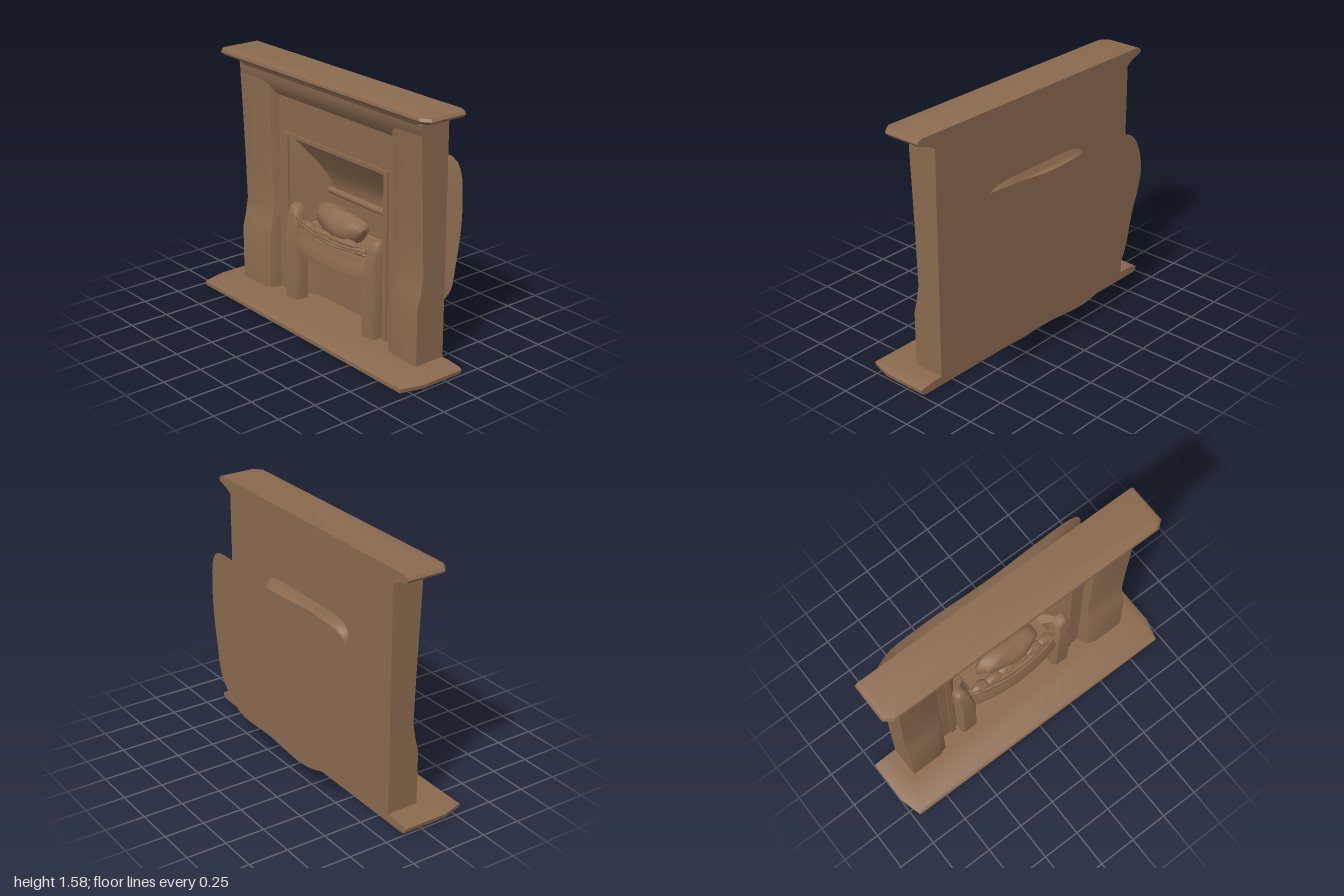
import * as THREE from 'three';
import { toCreasedNormals } from 'three/addons/utils/BufferGeometryUtils.js';

const brown = new THREE.MeshStandardMaterial({ color: 0x8a6a4e, side: THREE.DoubleSide });
brown.name = 'warm brown';

const BACK = -0.12;

function add(parent, name, geometry, crease = 0.6) {
  const mesh = new THREE.Mesh(toCreasedNormals(geometry, crease), brown);
  mesh.name = name;
  parent.add(mesh);
  return mesh;
}

// Skin a list of equal-length rings of [x, y, z] points
function loft(rings, { closed = true, capStart = true, capEnd = true } = {}) {
  const n = rings[0].length;
  const pos = rings.flat(2);
  const index = [];
  for (let i = 0; i < rings.length - 1; i++) {
    for (let j = 0; j < (closed ? n : n - 1); j++) {
      const k = (j + 1) % n;
      const a = i * n + j, b = i * n + k, c = b + n, d = a + n;
      index.push(a, b, c, a, c, d);
    }
  }
  const cap = (ring, start, flip) => {
    const centre = [0, 1, 2].map((c) => ring.reduce((s, p) => s + p[c], 0) / n);
    const m = pos.length / 3;
    pos.push(...centre);
    for (let j = 0; j < n; j++) {
      const a = start + j, b = start + ((j + 1) % n);
      index.push(m, flip ? b : a, flip ? a : b);
    }
  };
  if (closed && capStart) cap(rings[0], 0, true);
  if (closed && capEnd) cap(rings[rings.length - 1], (rings.length - 1) * n, false);
  const g = new THREE.BufferGeometry();
  g.setAttribute('position', new THREE.Float32BufferAttribute(pos, 3));
  g.setIndex(index);
  return g;
}

// Horizontal slab from rows of [y, halfWidth, front], with cut front corners
const slab = (rows, cx, cz) => loft(rows.map(([y, w, f]) => [
  [w, y, f - cz], [w, y, BACK], [-w, y, BACK], [-w, y, f - cz], [-w + cx, y, f], [w - cx, y, f],
]));

// Build a right-and-left pair from rings given for +x
function pair(parent, name, rings, crease) {
  add(parent, name + 'Left', loft(rings), crease);
  add(parent, name + 'Right', loft(rings.map((r) => r.map(([x, y, z]) => [-x, y, z]).reverse())), crease);
}

// Flat panel with a rectangular opening
function panel(w, y0, y1, hw, h0, h1, z, depth) {
  const rect = (C, a, b, c) => new C([[-a, b], [a, b], [a, c], [-a, c]].map((p) => new THREE.Vector2(...p)));
  const s = rect(THREE.Shape, w, y0, y1);
  s.holes.push(rect(THREE.Path, hw, h0, h1));
  return new THREE.ExtrudeGeometry(s, { depth, bevelEnabled: false }).translate(0, 0, z);
}

function buildSurround(g) {
  add(g, 'hearth', slab([[0.005, 0.97, 0.29], [0.015, 0.995, 0.31], [0.04, 1, 0.31], [0.05, 0.985, 0.295], [0.06, 0.9, 0.1]], 0.04, 0.14));
  add(g, 'lintel', slab([[1.35, 0.838, 0.01], [1.44, 0.838, 0.08], [1.51, 0.838, 0.085]], 0.002, 0.002));
  add(g, 'mantelShelf', slab([[1.495, 0.838, 0.085], [1.525, 0.89, 0.105], [1.543, 0.955, 0.15], [1.56, 0.967, 0.167],
    [1.577, 0.955, 0.163], [1.585, 0.93, 0.135]], 0.05, 0.04));

  // Jambs: plinth below, shaft leaning gently forward towards the top
  pair(g, 'jamb', [[0.05, 0.085], [0.41, 0.085], [0.5, 0.062], [0.6, 0.045], [0.9, 0.055], [1.2, 0.068], [1.44, 0.08]].map(([y, f]) => [
    [0.838, y, f], [0.838, y, BACK], [0.545, y, BACK], [0.545, y, -0.01], [0.575, y, f * 0.75], [0.63, y, f],
  ]));
  add(g, 'backPanel', panel(0.56, 0.05, 1.37, 0.41, 0.5, 1.06, BACK, 0.01));
  add(g, 'innerPanel', panel(0.56, 0.05, 1.37, 0.45, 0.051, 1.11, -0.03, 0.03));
  // Raised inner frame around the fire opening
  add(g, 'openingFrame', panel(0.485, 0.05, 1.125, 0.45, 0.051, 1.1, 0, 0.012));
}

function buildFirebox(g) {
  // Rows: y, back half width, back z
  const rows = [[0.05, 0.3, -0.105], [0.5, 0.3, -0.105], [0.56, 0.29, -0.2], [0.74, 0.285, -0.2], [0.82, 0.285, -0.2],
    [0.92, 0.32, -0.14], [1.02, 0.38, -0.07], [1.11, 0.45, -0.005]];
  add(g, 'firebox', loft(rows.map(([y, w, z]) => [
    [-0.45, y, 0], [-w, y, z], [w, y, z], [0.45, y, 0],
  ]), { closed: false }));
  add(g, 'fireboxLedge', new THREE.CylinderGeometry(0.022, 0.022, 0.56, 12).rotateZ(Math.PI / 2).translate(0, 0.755, -0.19));
}

function buildGrate(g) {
  // Grate posts, leaning back at the head
  pair(g, 'gratePost', [[0.05, 0.31, 0.43, 0.06], [0.44, 0.31, 0.43, 0.065], [0.53, 0.325, 0.425, 0.055],
    [0.62, 0.335, 0.43, 0.04], [0.66, 0.355, 0.425, 0.03], [0.675, 0.38, 0.415, 0.015]].map(([y, a, b, f]) => [
    [b, y, f - 0.02], [b, y, -0.03], [a, y, -0.03], [a, y, f - 0.02], [a + 0.015, y, f], [b - 0.015, y, f],
  ]), 0.9);

  // Bowed apron below the bars
  const bow = (y, f) => {
    const ring = [[0.32, y, -0.02], [-0.32, y, -0.02]];
    for (let i = 0; i <= 12; i++) {
      const t = i / 6 - 1;
      ring.push([0.32 * t, y, f - 0.045 * t * t]);
    }
    return ring;
  };
  add(g, 'grateApron', loft([bow(0.4, 0.092), bow(0.44, 0.097), bow(0.49, 0.075), bow(0.535, 0.068)]), 0.7);
  add(g, 'fireBed', new THREE.BoxGeometry(0.6, 0.05, 0.2).translate(0, 0.53, -0.09));

  for (const [y, f] of [[0.56, 0.075], [0.585, 0.085], [0.615, 0.095]]) {
    const pts = [-1, -0.6, -0.2, 0.2, 0.6, 1].map((t) => new THREE.Vector3(0.32 * t, y + 0.005 * Math.sin(t * 9 + y * 40), f - 0.05 * t * t));
    add(g, 'grateBar', new THREE.TubeGeometry(new THREE.CatmullRomCurve3(pts), 24, 0.009, 6), 1.2);
  }

  // Uneven coal lump with smaller pieces around it
  const coal = (name, x, y, z, sx, sy, sz, seed) => {
    const geo = new THREE.IcosahedronGeometry(1, 3);
    const p = geo.attributes.position;
    const v = new THREE.Vector3();
    for (let i = 0; i < p.count; i++) {
      v.fromBufferAttribute(p, i);
      const r = 1 + 0.1 * Math.sin(4 * v.x + seed) * Math.cos(3 * v.y + seed) + 0.06 * Math.sin(7 * v.z + 5 * v.x);
      p.setXYZ(i, x + v.x * r * sx, y + v.y * r * sy, z + v.z * r * sz);
    }
    add(g, name, geo, 0.8);
  };
  coal('coalLump', 0, 0.645, -0.05, 0.23, 0.1, 0.085, 1);
  for (let i = 0; i < 6; i++) {
    coal('coalPiece', -0.25 + i * 0.1, 0.57 + 0.01 * Math.sin(i * 5), 0.015, 0.06, 0.03, 0.035, i * 2);
  }
}

function buildChimneyBack(g) {
  // Irregular outline of the rear flange
  const outline = [[0.72, 1.18], [0.77, 0.92], [0.73, 0.55], [0.68, 0.35], [0.48, 0.19], [0.13, 0.18], [-0.29, 0.165],
    [-0.58, 0.3], [-0.68, 0.6], [-0.76, 0.9], [-0.66, 1.14], [-0.4, 1.19], [0.09, 1.17], [0.41, 1.2]];
  const curve = new THREE.CatmullRomCurve3(outline.map(([x, y]) => new THREE.Vector3(x, y, 0)), true, 'centripetal');
  const edge = curve.getPoints(70).slice(0, -1);
  const cy = 0.77;
  // Rounded rectangle sampled in the same directions as the outline
  const box = (z, w, y0, y1) => edge.map((p) => {
    const dx = p.x / w, dy = (p.y - cy) / ((y1 - y0) / 2);
    const k = Math.pow(Math.abs(dx) ** 7 + Math.abs(dy) ** 7, -1 / 7);
    return [p.x * k, (y0 + y1) / 2 + (p.y - cy) * k, z];
  });
  const neck = box(-0.235, 0.44, 0.45, 1.06);
  const flare = (z, t) => edge.map((p, i) => [
    neck[i][0] + (p.x - neck[i][0]) * t, neck[i][1] + (p.y - neck[i][1]) * t, z,
  ]);
  add(g, 'chimneyBack', loft([
    box(-0.118, 0.44, 0.47, 1.12), box(-0.14, 0.44, 0.47, 1.08), box(-0.16, 0.43, 0.455, 1.075),
    box(-0.215, 0.42, 0.45, 1.065), neck, flare(-0.27, 0.38), flare(-0.295, 0.75), flare(-0.308, 1),
  ], { capStart: false }), 0.8);
}

export function createModel() {
  const model = new THREE.Group();
  model.name = 'fireplace';
  const parts = { surround: buildSurround, firebox: buildFirebox, grate: buildGrate, chimney: buildChimneyBack };
  for (const [name, build] of Object.entries(parts)) {
    const g = new THREE.Group();
    g.name = name;
    build(g);
    model.add(g);
  }
  return model;
}
